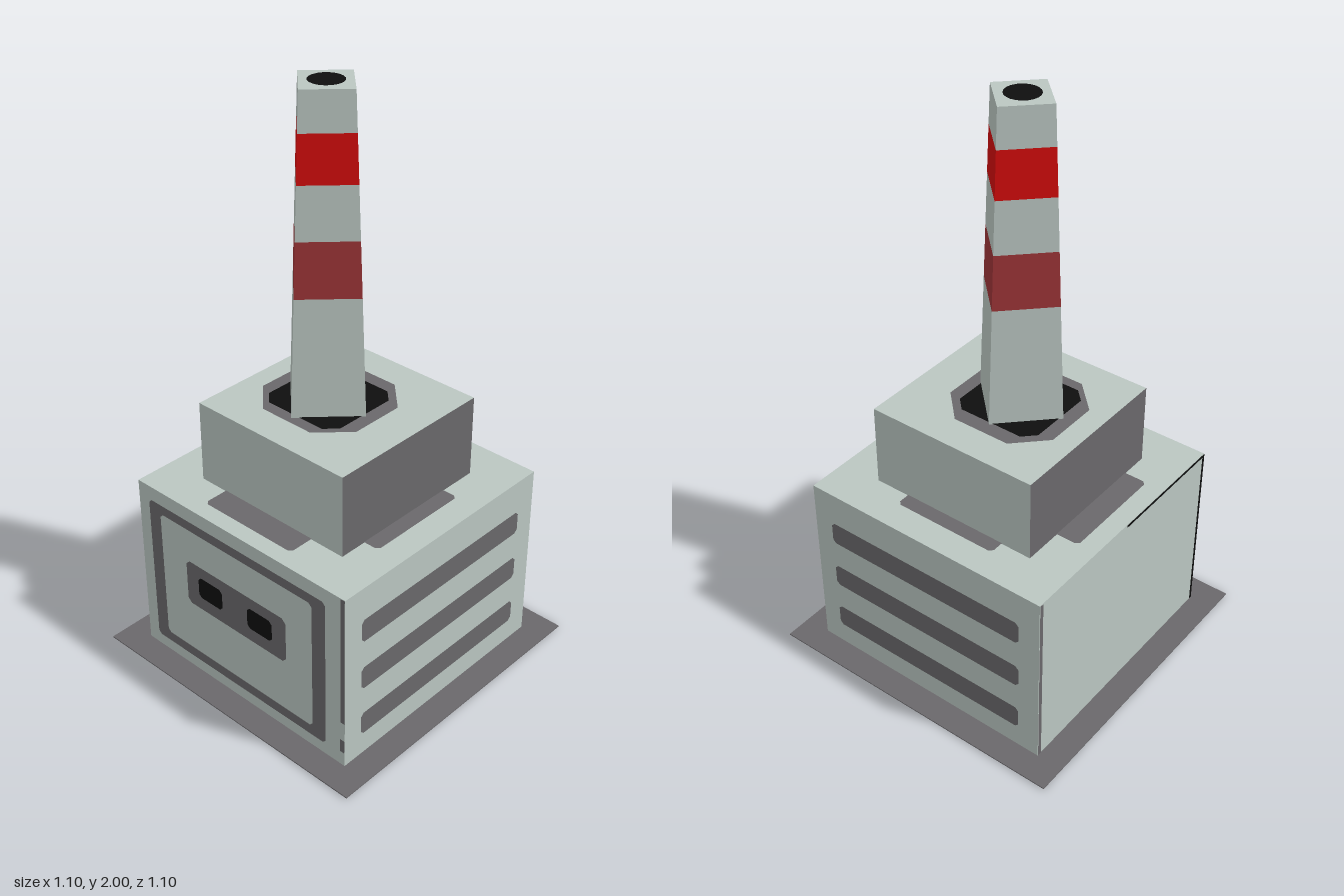
import * as THREE from 'three';

const mat = (name, color) => {
  const m = new THREE.MeshStandardMaterial({ color });
  m.name = name;
  return m;
};

// Outline of a rectangle with cut corners, given by its edges
function chamferRect(x0, x1, y0, y1, c = 0.012, Type = THREE.Shape) {
  const pts = [[x0 + c, y0], [x1 - c, y0], [x1, y0 + c], [x1, y1 - c],
    [x1 - c, y1], [x0 + c, y1], [x0, y1 - c], [x0, y0 + c]];
  return new Type(pts.map(([x, y]) => new THREE.Vector2(x, y)));
}

export function createModel() {
  const light = mat('pale concrete', 0xbac6c1);
  const grey = mat('dark grey', 0x6a686b);
  const black = mat('black', 0x0e0e0e);
  const red = mat('bright red', 0xd20c0c);
  const dullRed = mat('dull red', 0x9c3437);

  const model = new THREE.Group();
  const add = (parent, name, geometry, material, x = 0, y = 0, z = 0) => {
    const mesh = new THREE.Mesh(geometry, material);
    mesh.name = name;
    mesh.position.set(x, y, z);
    parent.add(mesh);
    return mesh;
  };
  const plate = (parent, name, shape, material, lift) =>
    add(parent, name, new THREE.ShapeGeometry(shape), material, 0, 0, lift);

  // Ground slab with the pale building outline on its underside
  add(model, 'groundSlab', new THREE.BoxGeometry(1.1, 0.004, 1.1), grey, 0, 0.004, 0);
  const outline = chamferRect(-0.46, 0.46, -0.46, 0.46, 0);
  outline.holes.push(chamferRect(-0.452, 0.452, -0.452, 0.452, 0, THREE.Path));
  plate(model, 'undersideOutline', outline, light, 0).rotation.x = Math.PI / 2;

  // Main hall and upper storey (dark on its two sides)
  const H = 0.457;
  add(model, 'mainHall', new THREE.BoxGeometry(2 * H, 0.656, 2 * H), light, 0, 0.332, 0);
  add(model, 'upperStorey', new THREE.BoxGeometry(0.616, 0.29, 0.616),
    [grey, grey, light, light, light, light], 0, 0.803, 0);

  // One group per wall, whose +z is the wall's outside
  const wall = (name, angle) => {
    const g = new THREE.Group();
    g.name = name;
    g.rotation.y = angle;
    model.add(g);
    return g;
  };

  // Front wall: border, panel, two windows and corner trim
  const front = wall('frontWall', 0);
  const border = chamferRect(-0.407, 0.378, 0.05, 0.61);
  border.holes.push(chamferRect(-0.355, 0.322, 0.087, 0.575, 0.012, THREE.Path));
  plate(front, 'doorBorder', border, grey, H + 0.002);
  plate(front, 'windowPanel', chamferRect(-0.24, 0.21, 0.28, 0.45, 0.015), grey, H + 0.002);
  for (const x of [-0.128, 0.096])
    plate(front, 'window', chamferRect(x - 0.055, x + 0.055, 0.33, 0.41), black, H + 0.004);
  for (const [y0, y1] of [[0.18, 0.66], [0.06, 0.11]])
    plate(front, 'cornerTrim', chamferRect(0.44, H, y0, y1, 0), grey, H + 0.002);

  // Slatted vents on the right and back walls
  for (const [name, angle] of [['rightWall', Math.PI / 2], ['backWall', Math.PI]]) {
    const g = wall(name, angle);
    for (const y of [0.13, 0.315, 0.5])
      plate(g, 'ventSlat', chamferRect(-0.385, 0.38, y - 0.042, y + 0.042), grey, H + 0.002);
  }

  // Left wall: plain, with thin dark edge trim
  const left = wall('leftWall', -Math.PI / 2);
  plate(left, 'backEdgeTrim', chamferRect(-H, -H + 0.015, 0.01, 0.66, 0), grey, H + 0.002);
  plate(left, 'frontEdgeTrim', chamferRect(H - 0.012, H, 0.01, 0.66, 0), black, H + 0.002);
  plate(left, 'topEdgeTrim', chamferRect(0, H, 0.65, 0.66, 0), black, H + 0.002);

  // Roof patches; shape y runs towards the back
  const roof = (name, shape, material, y) => {
    const m = plate(model, name, shape, material, 0);
    m.rotation.x = -Math.PI / 2;
    m.position.y = y;
  };
  roof('roofPatchAcross', chamferRect(-0.39, 0.365, -0.21, 0.17), grey, 0.662);
  roof('roofPatchAlong', chamferRect(-0.2, 0.18, -0.4, 0.36), grey, 0.663);
  roof('chimneyApron', chamferRect(-0.233, 0.172, -0.198, 0.195, 0.1), grey, 0.95);
  roof('chimneySoot', chamferRect(-0.185, 0.125, -0.16, 0.145, 0.04), black, 0.952);

  // Tapering four-sided chimney, one flat-sided section per colour
  const chimney = new THREE.Group();
  chimney.name = 'chimney';
  chimney.position.set(-0.03, 0, 0.012);
  model.add(chimney);
  const radius = y => THREE.MathUtils.mapLinear(y, 0.948, 2, 0.165, 0.115);
  const levels = [0.948, 1.355, 1.54, 1.715, 1.87, 1.998];
  const colours = [light, dullRed, light, red, light];
  colours.forEach((m, i) => {
    const [a, b] = [levels[i], levels[i + 1]];
    const geo = new THREE.CylinderGeometry(radius(b), radius(a), b - a, 4, 1, i < 4).toNonIndexed();
    geo.computeVertexNormals();
    add(chimney, m === light ? 'chimneyShaft' : 'chimneyBand', geo, m, 0, (a + b) / 2, 0);
  });
  add(chimney, 'flueOpening', new THREE.CircleGeometry(0.056, 20), black, 0, 2, 0)
    .rotation.x = -Math.PI / 2;

  return model;
}
